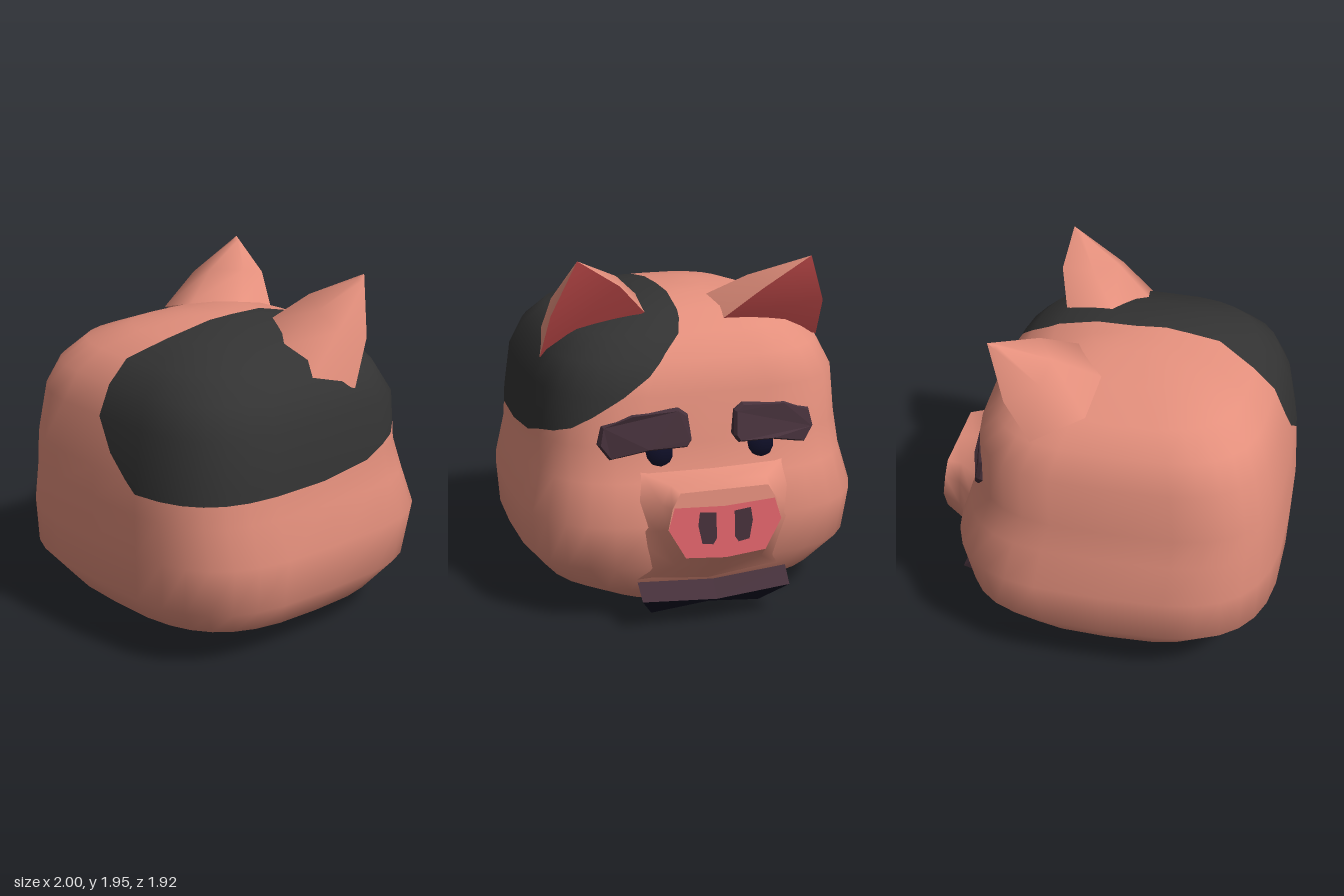
import * as THREE from 'three';

const mat = (name, color, side = THREE.FrontSide) => {
  const m = new THREE.MeshStandardMaterial({ color, side });
  m.name = name;
  return m;
};
const V = (x, y, z) => new THREE.Vector3(x, y, z);
const lerp = THREE.MathUtils.lerp;

// piecewise-linear curve through [input, output] pairs
function curve(pts, t) {
  if (t <= pts[0][0]) return pts[0][1];
  for (let i = 1; i < pts.length; i++) {
    const [a, b] = [pts[i - 1], pts[i]];
    if (t <= b[0]) return lerp(a[1], b[1], (t - a[0]) / (b[0] - a[0]));
  }
  return pts[pts.length - 1][1];
}

// skin over a list of rings
function loft(rings, closed = true) {
  const n = rings[0].length, idx = [];
  for (let r = 0; r < rings.length - 1; r++) {
    for (let i = 0; i < (closed ? n : n - 1); i++) {
      const a = r * n + i, b = r * n + (i + 1) % n;
      idx.push(a, b, b + n, a, b + n, a + n);
    }
  }
  const g = new THREE.BufferGeometry().setFromPoints(rings.flat());
  g.setIndex(idx);
  g.computeVertexNormals();
  return g;
}

// part of a geometry where field(p) * sign > 0, cut cleanly along the zero line
function clip(geo, field, sign) {
  const g = geo.toNonIndexed(), P = g.attributes.position, N = g.attributes.normal;
  const pos = [], nor = [];
  for (let t = 0; t < P.count; t += 3) {
    const c = [0, 1, 2].map((k) => {
      const p = V().fromBufferAttribute(P, t + k);
      return { p, n: V().fromBufferAttribute(N, t + k), f: field(p) * sign };
    });
    const poly = [];
    c.forEach((a, k) => {
      const b = c[(k + 1) % 3];
      if (a.f > 0) poly.push(a);
      if ((a.f > 0) !== (b.f > 0)) {
        const s = a.f / (a.f - b.f);
        poly.push({ p: a.p.clone().lerp(b.p, s), n: a.n.clone().lerp(b.n, s).normalize() });
      }
    });
    for (let k = 1; k < poly.length - 1; k++) {
      for (const v of [poly[0], poly[k], poly[k + 1]]) {
        pos.push(...v.p.toArray());
        nor.push(...v.n.toArray());
      }
    }
  }
  const out = new THREE.BufferGeometry();
  out.setAttribute('position', new THREE.Float32BufferAttribute(pos, 3));
  out.setAttribute('normal', new THREE.Float32BufferAttribute(nor, 3));
  return out;
}

export function createModel() {
  const model = new THREE.Group();
  const skin = mat('skin', 0xe38f7c);
  const earSkin = mat('skin', 0xe38f7c, THREE.DoubleSide);
  const earPink = mat('inner ear red', 0xcf5050, THREE.DoubleSide);
  const pink = mat('snout pink', 0xe0646b);
  const charcoal = mat('patch charcoal', 0x333333);
  const plum = mat('plum', 0x45303a, THREE.DoubleSide);
  const navy = mat('navy', 0x0d0d24, THREE.DoubleSide);
  const add = (name, geo, m) => {
    const mesh = new THREE.Mesh(geo, m);
    mesh.name = name;
    model.add(mesh);
    return mesh;
  };

  // Head: superellipse rings [y, back x, front x, half width, exponent]
  const levels = [
    [0, -0.05, -0.05, 0, 2.5], [0, -0.57, 0.47, 0.51, 2.6], [0.16, -0.85, 0.68, 0.8, 3],
    [0.34, -0.99, 0.8, 0.94, 3.4], [0.6, -1, 0.86, 0.96, 3.4], [0.82, -0.99, 0.79, 0.9, 3.5],
    [1, -0.98, 0.72, 0.887, 3.5], [1.27, -0.93, 0.715, 0.855, 3.5], [1.43, -0.86, 0.63, 0.78, 3.4],
    [1.55, -0.74, 0.53, 0.66, 3.2], [1.64, -0.54, 0.37, 0.42, 3], [1.69, -0.25, 0.15, 0.18, 2.5],
    [1.69, -0.05, -0.05, 0, 2.5],
  ];
  const SEG = 32;
  const power = (v, n) => Math.sign(v) * Math.abs(v) ** (2 / n);
  const head = loft(levels.map(([y, xb, xf, hz, n]) => Array.from({ length: SEG }, (_, i) => {
    const a = (i / SEG) * Math.PI * 2;
    return V((xb + xf) / 2 + ((xf - xb) / 2) * power(Math.cos(a), n), y, -hz * power(Math.sin(a), n));
  })));

  // Dark patch over one side of the head
  const sideEdge = [[-1, 0.935], [-0.1, 0.955], [0.36, 1.01], [0.56, 1.08]];
  const topEdge = [[-1, 0.1], [-0.95, 0], [-0.64, 0], [-0.5, 0.12], [-0.1, 0.07], [0.3, 0.07], [0.6, 0.1]];
  const faceEdge = [[0.08, 1.69], [0.15, 1.46], [0.42, 1.3], [0.72, 1.09], [0.88, 1.02]];
  const patch = (p) => {
    let f = Math.min(p.y - curve(sideEdge, p.x), p.z - curve(topEdge, p.x));
    if (p.x > 0.3) f = Math.min(f, p.y - curve(faceEdge, p.z));
    if (p.x < -0.85) f = Math.min(f, p.y - 1.2 + 0.9 * p.z);
    return f;
  };
  add('head', clip(head, patch, -1), skin);
  add('headPatch', clip(head, patch, 1), charcoal);

  // Snout: flares back into the face
  const half = [[0, 0.82], [0.24, 0.82], [0.285, 0.74], [0.31, 0.63], [0.22, 0.47], [0, 0.45]];
  const mirrored = (h) => [...h, ...h.slice(1, -1).reverse().map(([z, y]) => [-z, y])];
  const profile = mirrored(half);
  const frontX = (y) => 0.97 + (0.82 - y) * 0.083;
  const snoutRing = (x, s, bottom, top) => profile.map(([z, y]) =>
    V(x ?? frontX(y), lerp(bottom, top, (y - 0.45) / 0.37), z * s));
  add('snout', loft([
    snoutRing(0.66, 2.1, 0.17, 0.93), snoutRing(0.76, 1.6, 0.25, 0.87),
    snoutRing(0.88, 1.1, 0.355, 0.835), snoutRing(null, 1, 0.45, 0.82),
  ]), skin);

  // Flat plates on the snout front, outlined by [z, y] points
  const plate = (name, pts, lift, m) => {
    const g = new THREE.ShapeGeometry(new THREE.Shape(pts.map(([z, y]) => new THREE.Vector2(-z, y))));
    g.rotateY(Math.PI / 2);
    const p = g.attributes.position;
    for (let i = 0; i < p.count; i++) p.setX(i, frontX(p.getY(i)) + lift);
    g.computeVertexNormals();
    add(name, g, m);
  };
  plate('snoutFront', profile, 0, skin);
  plate('snoutPad', mirrored([[0, 0.73], [0.275, 0.745], [0.31, 0.63], [0.22, 0.47], [0, 0.45]]), 0.003, pink);

  for (const s of [1, -1]) {
    const tag = s > 0 ? 'A' : 'B';
    plate('nostril' + tag, [[0.05, 0.7], [0.14, 0.71], [0.15, 0.64], [0.13, 0.54], [0.07, 0.53], [0.05, 0.56]]
      .map(([z, y]) => [z * s, y]), 0.006, plum);

    // Eyes
    const eye = add('eye' + tag, new THREE.SphereGeometry(0.105, 12, 8), navy);
    eye.position.set(0.66, 0.945, 0.28 * s);

    // Eyebrows: bevelled slabs bent around the face
    const brow = [[0.59, 1.02], [0.57, 1.11], [0.42, 1.17], [0.18, 1.19], [0.14, 1.16],
      [0.13, 1.04], [0.15, 1.01], [0.35, 1.0], [0.54, 0.95]];
    const g = new THREE.ExtrudeGeometry(
      new THREE.Shape(brow.map(([z, y]) => new THREE.Vector2(-z * s, y))),
      { depth: 0.1, bevelThickness: 0.02, bevelSize: 0.012, bevelSegments: 1 });
    g.rotateY(Math.PI / 2);
    const p = g.attributes.position;
    for (let i = 0; i < p.count; i++) {
      const bend = 0.45 * (Math.abs(p.getZ(i)) - 0.12) ** 2;
      p.setX(i, p.getX(i) + 0.67 - bend - Math.max(0, p.getY(i) - 1.03) * 0.3);
    }
    g.computeVertexNormals();
    add('eyebrow' + tag, g, plum);
  }

  // Ears: base outline swept to a leaning tip, with an open red front
  const ear = (name, base, tip) => {
    const ring = (t, s) => {
      const pts = base.map((b) => b.clone().lerp(tip, t));
      const c = pts.reduce((a, b) => a.add(b), V(0, 0, 0)).divideScalar(pts.length);
      return pts.map((q) => q.sub(c).multiplyScalar(s).add(c));
    };
    const rings = [ring(-0.08, 0.98), ring(0.45, 1.25), ring(0.92, 1.25), ring(1, 1)];
    add(name + 'Back', loft(rings, false), earSkin);
    add(name + 'Inner', loft(rings.map((r) => [r[r.length - 1], r[0]]), false), earPink);
  };
  ear('earA', [V(0.37, 1.66, 0.28), V(0.1, 1.68, 0.24), V(-0.05, 1.62, 0.5),
    V(-0.05, 1.5, 0.73), V(0.2, 1.42, 0.79)], V(0.4, 1.945, 0.63));
  ear('earB', [V(0.35, 1.47, -0.74), V(0.085, 1.6, -0.66), V(0.06, 1.67, -0.4),
    V(0.21, 1.68, -0.15), V(0.46, 1.62, -0.19)], V(0.57, 1.935, -0.61));

  // Bow under the chin: four edges running across, pinched in the middle
  const edge = (end, mid) => [V(...end), V(...mid), V(end[0], end[1], -end[2])];
  const top = edge([0.775, 0.262, 0.42], [0.785, 0.235, 0]);
  const lip = edge([0.862, 0.182, 0.415], [0.865, 0.15, 0]);
  const low = edge([0.655, 0.015, 0.31], [0.73, 0.08, 0]);
  const rear = edge([0.66, 0.09, 0.31], [0.69, 0.14, 0]);
  const flat = (rows) => {
    const g = loft(rows, false).toNonIndexed();
    g.computeVertexNormals();
    return g;
  };
  add('bowTop', flat([lip, top]), plum);
  add('bowUnderside', flat([low, lip]), navy);
  add('bowBack', flat([top, rear, low]), plum);
  for (const i of [0, 2]) add('bowEnd' + i, flat([[top[i], lip[i]], [rear[i], low[i]]]), plum);

  return model;
}
